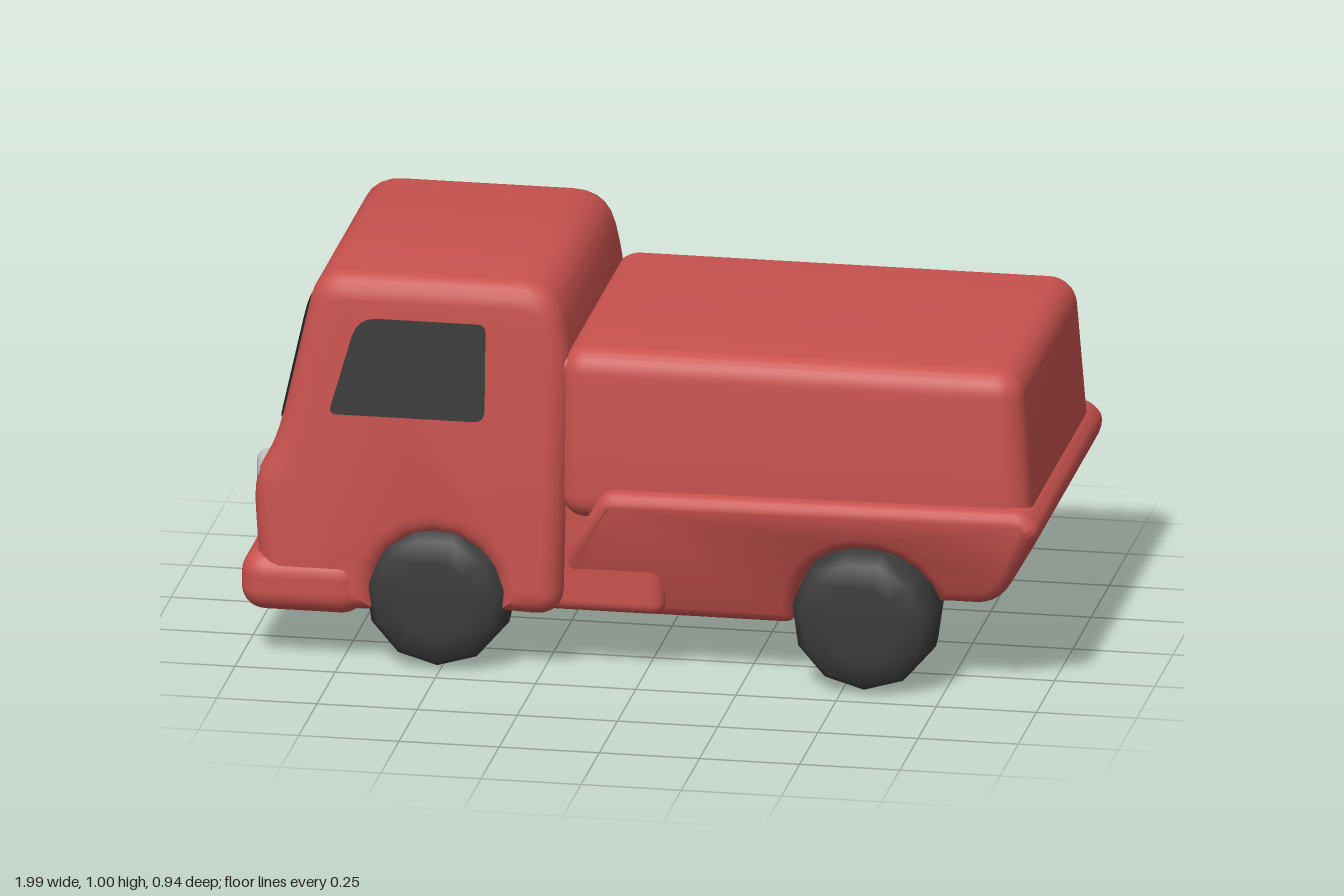
import * as THREE from 'three';
import { toCreasedNormals } from 'three/addons/utils/BufferGeometryUtils.js';
import { RoundedBoxGeometry } from 'three/addons/geometries/RoundedBoxGeometry.js';

const mat = (name, color, side = THREE.FrontSide) => {
  const m = new THREE.MeshStandardMaterial({ color, side });
  m.name = name;
  return m;
};

// Outline with rounded corners; each point is [x, y, radius]
function roundedShape(points) {
  const shape = new THREE.Shape();
  const n = points.length;
  points.forEach(([x, y, r = 0], i) => {
    const p = new THREE.Vector2(x, y);
    const toward = (q) => {
      const d = new THREE.Vector2(q[0], q[1]).sub(p);
      return p.clone().addScaledVector(d, Math.min(r / d.length(), 0.45));
    };
    const a = r ? toward(points[(i + n - 1) % n]) : p;
    const b = r ? toward(points[(i + 1) % n]) : p;
    if (i === 0) shape.moveTo(a.x, a.y);
    else shape.lineTo(a.x, a.y);
    if (r) shape.quadraticCurveTo(p.x, p.y, b.x, b.y);
  });
  return shape;
}

// Points of a wheel arch, from left to right over the top
function arch(cx, cy, r, from, to, steps = 10) {
  return Array.from({ length: steps + 1 }, (_, i) => {
    const a = from + ((to - from) * i) / steps;
    return [cx + r * Math.cos(a), cy + r * Math.sin(a)];
  });
}

// Move every vertex by a rule, then smooth the normals
function reshape(geo, rule, crease = 0.7) {
  const pos = geo.attributes.position;
  const v = new THREE.Vector3();
  for (let i = 0; i < pos.count; i++) {
    v.fromBufferAttribute(pos, i);
    rule(v);
    pos.setXYZ(i, v.x, v.y, v.z);
  }
  geo.computeVertexNormals();
  return toCreasedNormals(geo, crease);
}

// Side profile extruded across the truck; halfWidth(y) tapers the flanks
function bodyShell(points, bevel, halfWidth) {
  const W = 0.45;
  const depth = 2 * (W - bevel);
  const geo = new THREE.ExtrudeGeometry(roundedShape(points), {
    depth, curveSegments: 5, bevelEnabled: true, bevelSegments: 4,
    bevelSize: bevel, bevelThickness: bevel, bevelOffset: -bevel,
  });
  geo.translate(0, 0, -depth / 2);
  return reshape(geo, (v) => { v.z *= halfWidth(v.y) / W; });
}

export function createModel() {
  const truck = new THREE.Group();
  truck.name = 'truck';
  const red = mat('red paint', 0xc8524e);
  const rubber = mat('dark rubber', 0x3b3b3b);
  const glass = mat('dark glass', 0x393939, THREE.DoubleSide);
  const lamp = mat('lamp grey', 0xc2c2c2);
  const add = (name, geo, material, x = 0, y = 0, z = 0) => {
    const mesh = new THREE.Mesh(geo, material);
    mesh.name = name;
    mesh.position.set(x, y, z);
    truck.add(mesh);
    return mesh;
  };
  const frontX = -0.51, rearX = 0.555, axleY = 0.187;

  // Cab
  const cabWidth = (y) => 0.467 - 0.062 * y;
  add('cab', bodyShell([
    [-0.95, 0.13, 0.05], ...arch(frontX, axleY, 0.155, Math.PI + 0.3, -0.2),
    [-0.2, 0.15, 0.07], [-0.18, 0.8, 0.1], [-0.225, 0.998, 0.09],
    [-0.82, 0.998, 0.08], [-0.915, 0.56, 0.1], [-0.975, 0.46, 0.08],
  ], 0.06, cabWidth), red);
  add('bumper', new RoundedBoxGeometry(0.31, 0.155, 0.92, 4, 0.06), red, -0.845, 0.203);

  // Neck between cab and load bed
  add('neck', new RoundedBoxGeometry(0.4, 0.66, 0.79, 3, 0.03), red, -0.15, 0.485);

  // Load bed: closed box above, flared skirt with rear arches below
  add('loadBox', reshape(new RoundedBoxGeometry(1.18, 0.44, 0.86, 5, 0.065), (v) => {
    const t = (v.y + 0.17) / 0.39;
    if (v.x > 0) v.x -= 0.03 * t;
    v.z *= 1 - 0.035 * t;
  }), red, 0.38, 0.62);
  add('skirt', bodyShell([
    [-0.23, 0.14, 0.04], [0.362, 0.14, 0.02],
    ...arch(rearX, axleY, 0.185, Math.PI, 0.22),
    [0.76, 0.23, 0.01], [0.88, 0.23, 0.07], [1.005, 0.45, 0.05], [0.96, 0.5, 0.03],
    [-0.09, 0.49, 0.03], [-0.2, 0.3, 0.06],
  ], 0.03, (y) => 0.468 - 0.4 * Math.max(0, 0.45 - y)), red);

  // Side windows lie on the sloping cab flanks
  const sideWindow = roundedShape([
    [-0.78, 0.645, 0.02], [-0.39, 0.645, 0.03], [-0.39, 0.893, 0.02], [-0.71, 0.893, 0.05],
  ]);
  for (const s of [1, -1]) {
    const geo = reshape(new THREE.ShapeGeometry(sideWindow, 4), (v) => {
      v.z = s * (cabWidth(v.y) + 0.004);
    });
    add(s > 0 ? 'rightWindow' : 'leftWindow', geo, glass);
  }

  // Windscreen, drawn as (z, y) and laid on the sloping front
  const screen = roundedShape([
    [-0.37, 0.6, 0.04], [0.37, 0.6, 0.04], [0.355, 0.91, 0.05], [-0.355, 0.91, 0.05],
  ]);
  add('windscreen', reshape(new THREE.ShapeGeometry(screen, 4), (v) => {
    v.z = v.x;
    v.x = -0.921 + ((v.y - 0.56) * 0.095) / 0.438;
  }), glass);

  // Headlights wrap the front corners
  for (const s of [1, -1]) {
    const light = add('headlight', new RoundedBoxGeometry(0.06, 0.16, 0.18, 4, 0.028), lamp,
      -0.945, 0.41, s * 0.325);
    light.rotation.y = s * 0.2;
  }

  // Wheels and axles
  const tyre = [
    [0, -0.108], [0.1, -0.108], [0.155, -0.096], [0.18, -0.06], [0.186, 0],
    [0.18, 0.06], [0.155, 0.096], [0.1, 0.108], [0, 0.108],
  ].map(([r, y]) => new THREE.Vector2(r, y));
  const wheelGeo = new THREE.LatheGeometry(tyre, 11).rotateX(Math.PI / 2);
  const axleGeo = new THREE.CylinderGeometry(0.055, 0.055, 0.6, 16).rotateX(Math.PI / 2);
  for (const [end, x] of [['front', frontX], ['rear', rearX]]) {
    add(end + 'Axle', axleGeo, red, x, axleY - 0.01);
    for (const s of [1, -1]) add(end + 'Wheel', wheelGeo, rubber, x, axleY, s * 0.36);
  }
  return truck;
}
